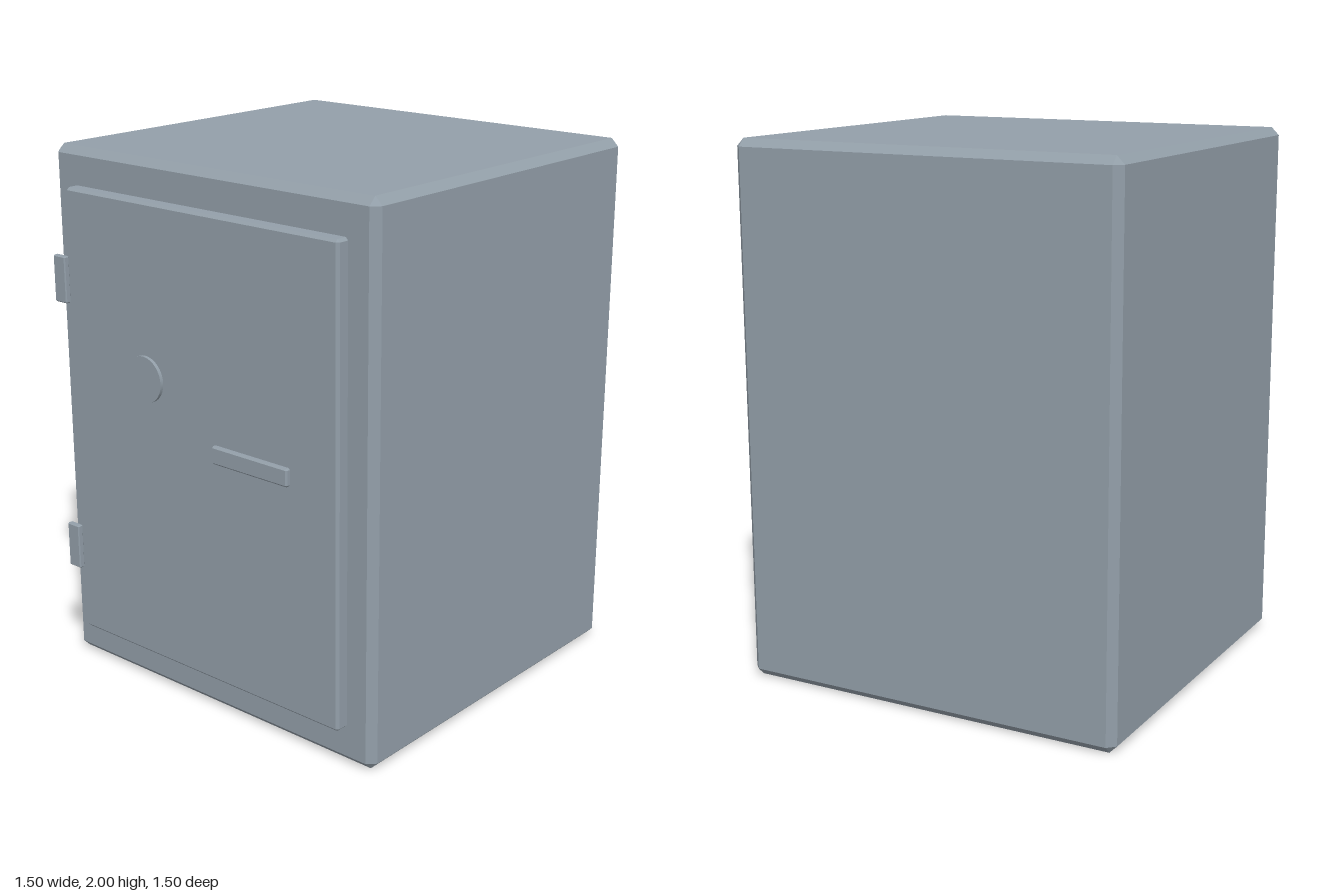
import * as THREE from 'three';
import { ConvexGeometry } from 'three/addons/geometries/ConvexGeometry.js';

// Blue-grey painted steel
const material = new THREE.MeshStandardMaterial({ color: 0x939fa9 });

// Box between two corners with every edge chamfered by b
function chamferBox(name, min, max, b) {
  const center = min.map((v, i) => (v + max[i]) / 2);
  const half = min.map((v, i) => (max[i] - v) / 2);
  const points = [];
  for (const sx of [-1, 1]) for (const sy of [-1, 1]) for (const sz of [-1, 1]) {
    const sign = [sx, sy, sz];
    // each corner becomes three points, one on each adjoining face
    for (let face = 0; face < 3; face++) {
      points.push(new THREE.Vector3(...sign.map((s, i) => s * (half[i] - (i === face ? 0 : b)))));
    }
  }
  const mesh = new THREE.Mesh(new ConvexGeometry(points), material);
  mesh.name = name;
  mesh.position.set(...center);
  return mesh;
}

export function createModel() {
  const safe = new THREE.Group();
  safe.name = 'safe';

  // Cabinet and raised door
  safe.add(chamferBox('body', [-0.75, 0, -0.75], [0.75, 2, 0.676], 0.029));
  safe.add(chamferBox('door', [-0.637, 0.14, 0.66], [0.637, 1.862, 0.725], 0.01));

  // Hinges on the door's edge
  for (const [name, y] of [['upperHinge', 1.525], ['lowerHinge', 0.478]]) {
    safe.add(chamferBox(name, [-0.693, y - 0.087, 0.727], [-0.632, y + 0.087, 0.75], 0.004));
  }

  // Handle bar
  safe.add(chamferBox('handle', [0.086, 0.994, 0.727], [0.435, 1.06, 0.75], 0.006));

  // Round dial
  const dial = new THREE.Mesh(new THREE.CylinderGeometry(0.086, 0.086, 0.013, 32), material);
  dial.name = 'dial';
  dial.rotation.x = Math.PI / 2;
  dial.position.set(-0.251, 1.226, 0.7325);
  safe.add(dial);

  return safe;
}
